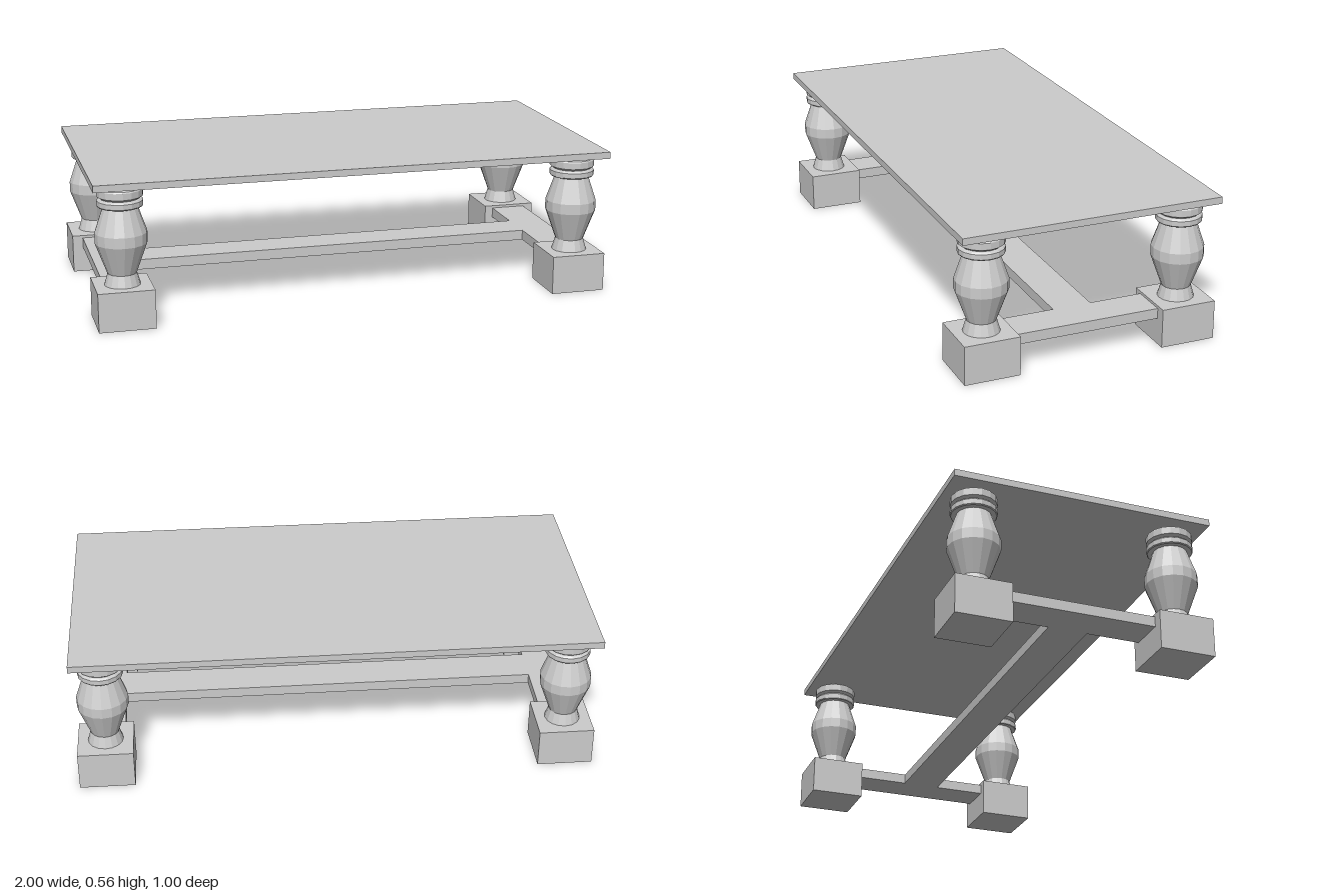
import * as THREE from 'three';

export function createModel() {
  const table = new THREE.Group();
  table.name = 'table';
  const material = new THREE.MeshStandardMaterial({ color: 0xcccccc, flatShading: true });

  function add(name, geometry, x, y, z) {
    const mesh = new THREE.Mesh(geometry, material);
    mesh.name = name;
    mesh.position.set(x, y, z);
    table.add(mesh);
  }

  // Thin rectangular top
  add('tableTop', new THREE.BoxGeometry(2, 0.026, 1), 0, 0.547, 0);

  // Turned leg: flared foot, vase, two stacked rings and a tapered neck
  const profile = [
    [0, 0.15], [0.068, 0.15], [0.055, 0.195], [0.098, 0.312], [0.098, 0.352],
    [0.064, 0.451], [0.083, 0.451], [0.086, 0.455], [0.086, 0.474], [0.08, 0.48],
    [0.074, 0.482], [0.08, 0.487], [0.086, 0.491], [0.086, 0.516], [0.083, 0.521],
    [0.05, 0.535], [0, 0.535],
  ].map(([r, y]) => new THREE.Vector2(r, y));
  const legGeometry = new THREE.LatheGeometry(profile, 16);
  const blockGeometry = new THREE.BoxGeometry(0.213, 0.15, 0.213);

  for (const sx of [-1, 1]) {
    for (const sz of [-1, 1]) {
      add('footBlock', blockGeometry, sx * 0.889, 0.075, sz * 0.387);
      add('turnedLeg', legGeometry, sx * 0.889, 0, sz * 0.387);
    }
  }

  // H-shaped stretcher between the foot blocks, outlined in plan
  const inner = 0.815, outer = 0.955, end = 0.3, half = 0.075;
  const plan = new THREE.Shape([
    [-outer, -end], [-inner, -end], [-inner, -half], [inner, -half], [inner, -end], [outer, -end],
    [outer, end], [inner, end], [inner, half], [-inner, half], [-inner, end], [-outer, end],
  ].map(([x, y]) => new THREE.Vector2(x, y)));
  const stretcher = new THREE.ExtrudeGeometry(plan, { depth: 0.04, bevelEnabled: false });
  stretcher.rotateX(-Math.PI / 2);
  add('stretcher', stretcher, 0, 0.1, 0);

  return table;
}
